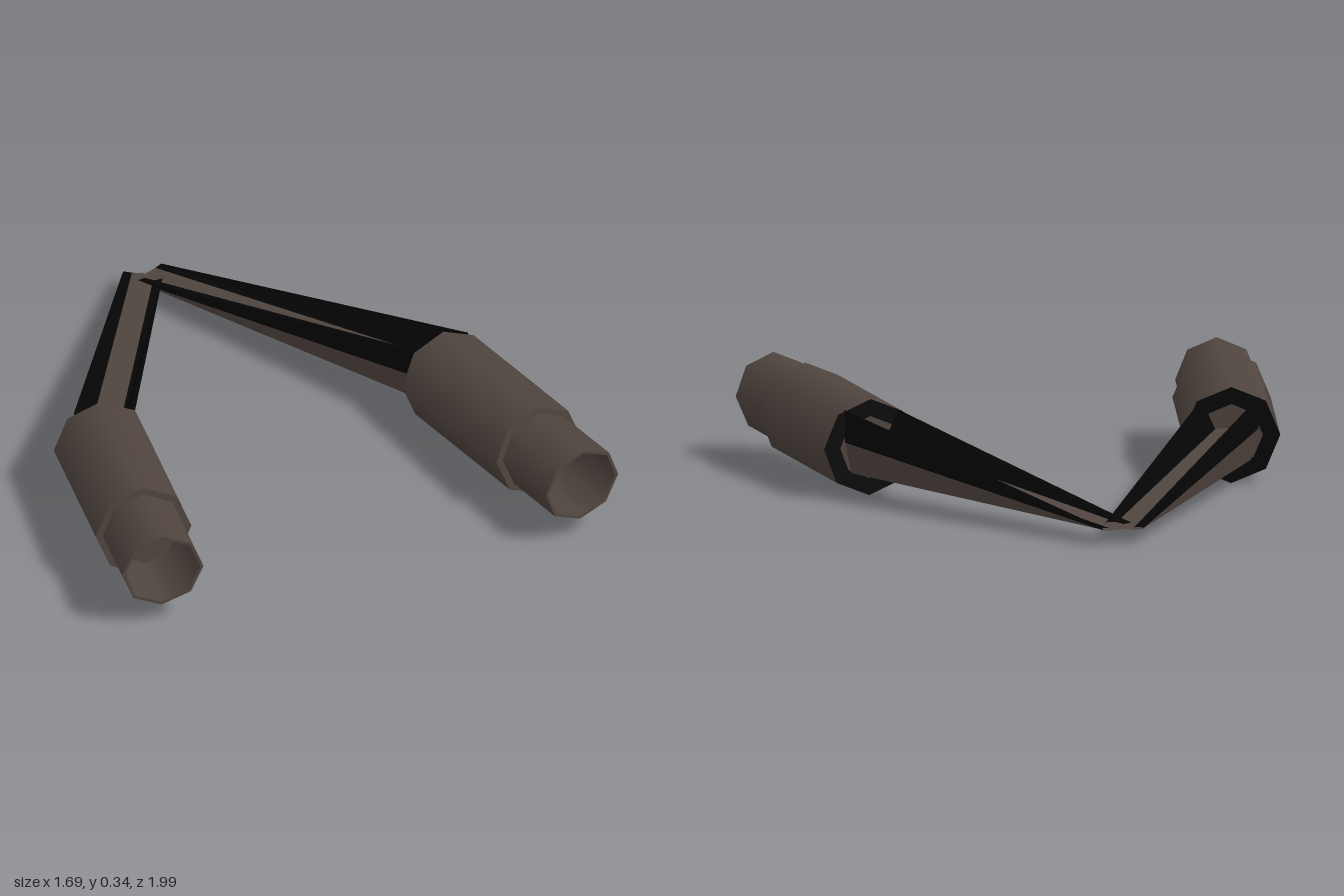
import * as THREE from 'three';

const brown = new THREE.MeshStandardMaterial({ color: 0x50453f, side: THREE.DoubleSide });
brown.name = 'dark brown';
const black = new THREE.MeshStandardMaterial({ color: 0x050505, side: THREE.DoubleSide });
black.name = 'black';

const BODY = 0.59, FRONT = 0.86; // distances along the barrel from its back end

function part(name, geometry, material) {
  const mesh = new THREE.Mesh(geometry, material);
  mesh.name = name;
  return mesh;
}

// The muzzle end is cut slightly aslant
function slant(geometry) {
  const p = geometry.attributes.position;
  for (let i = 0; i < p.count; i++) {
    if (p.getZ(i) > FRONT - 0.01) p.setZ(i, p.getZ(i) + p.getY(i) * 0.15);
  }
  return geometry;
}

// Open eight-sided tube along z
function tube(rBack, rFront, z0, z1) {
  return new THREE.CylinderGeometry(rFront, rBack, z1 - z0, 8, 1, true)
    .rotateX(Math.PI / 2).translate(0, 0, (z0 + z1) / 2);
}

// Flat eight-sided ring or disc facing +z or, with back, -z
function ring(r0, r1, z, back = false) {
  const g = r0 > 0 ? new THREE.RingGeometry(r0, r1, 8) : new THREE.CircleGeometry(r1, 8);
  if (back) g.rotateY(Math.PI);
  return g.translate(0, 0, z);
}

function barrel(side) {
  const g = new THREE.Group();
  g.name = side > 0 ? 'leftBarrel' : 'rightBarrel';
  g.add(
    part('sleeve', tube(0.155, 0.155, 0, BODY), brown),
    part('sleeveShoulder', ring(0.125, 0.155, BODY), brown),
    part('sleeveBackEdge', ring(0.1, 0.155, 0, true), black),
    part('sleeveBack', ring(0, 0.1, 0, true), brown),
    part('muzzle', slant(tube(0.132, 0.132, BODY, FRONT)), brown),
    part('muzzleRim', slant(ring(0.122, 0.132, FRONT)), brown),
    part('bore', slant(tube(0.105, 0.122, BODY + 0.02, FRONT).scale(-1, 1, 1)), brown),
    part('boreFloor', ring(0, 0.105, BODY + 0.02), brown),
    part('boreHole', ring(0, 0.022, BODY + 0.024), black),
  );
  // scaling flipped the bore inside out, so turn its normals inward
  const n = g.getObjectByName('bore').geometry.attributes.normal;
  for (let i = 0; i < n.count; i++) n.setXYZ(i, -n.getX(i), -n.getY(i), -n.getZ(i));
  const index = g.getObjectByName('bore').geometry.index;
  if (index) {
    // corner order already reversed by the mirror
    index.needsUpdate = true;
  }
  g.position.set(side * 0.583, 0.16, 0.123);
  g.rotation.set(-0.046, side * 0.152, 0, 'YXZ');
  return g;
}

// Cross-section points of one half of the arm: [offset, y] at base and at tip
const section = {
  bottom: [[0.06, 0.08], [0.045, 0.05]],
  middle: [[0.084, 0.18], [0.063, 0.054]],
  top: [[0.088, 0.285], [0.064, 0.061]],
  floor: [[0.045, 0.185], [0.036, 0.058]],
};

function arm(side) {
  const base = new THREE.Vector2(side * 0.592, 0.145);
  const tip = new THREE.Vector2(side * 0.008, -0.965);
  const dir = base.clone().sub(tip).normalize();
  const at = (key, end, s) => {
    const [u, y] = section[key][end];
    const c = end ? tip : base;
    return [c.x + dir.y * u * s, y, c.y - dir.x * u * s];
  };
  // One long face between two lines of the section
  const face = (k1, s1, k2, s2) => {
    const [a, b, c, d] = [at(k1, 0, s1), at(k2, 0, s2), at(k2, 1, s2), at(k1, 1, s1)];
    const g = new THREE.BufferGeometry();
    g.setAttribute('position', new THREE.Float32BufferAttribute([a, b, c, a, c, d].flat(), 3));
    g.computeVertexNormals();
    return g;
  };
  const g = new THREE.Group();
  g.name = side > 0 ? 'leftArm' : 'rightArm';
  g.add(
    part('armFloor', face('floor', -1, 'floor', 1), brown),
    part('armUnderside', face('bottom', 1, 'bottom', -1), brown),
  );
  for (const s of [1, -1]) {
    // reverse the order on one side so every face points outward
    const wall = (k1, k2) => (s > 0 ? face(k1, s, k2, s) : face(k2, s, k1, s));
    g.add(
      part('armLowerSide', wall('middle', 'bottom'), brown),
      part('armUpperSide', wall('top', 'middle'), black),
      part('armInnerWall', wall('floor', 'top'), black),
    );
  }
  return g;
}

export function createModel() {
  const model = new THREE.Group();
  model.name = 'twinBarrelFork';
  for (const side of [1, -1]) model.add(barrel(side), arm(side));
  return model;
}
